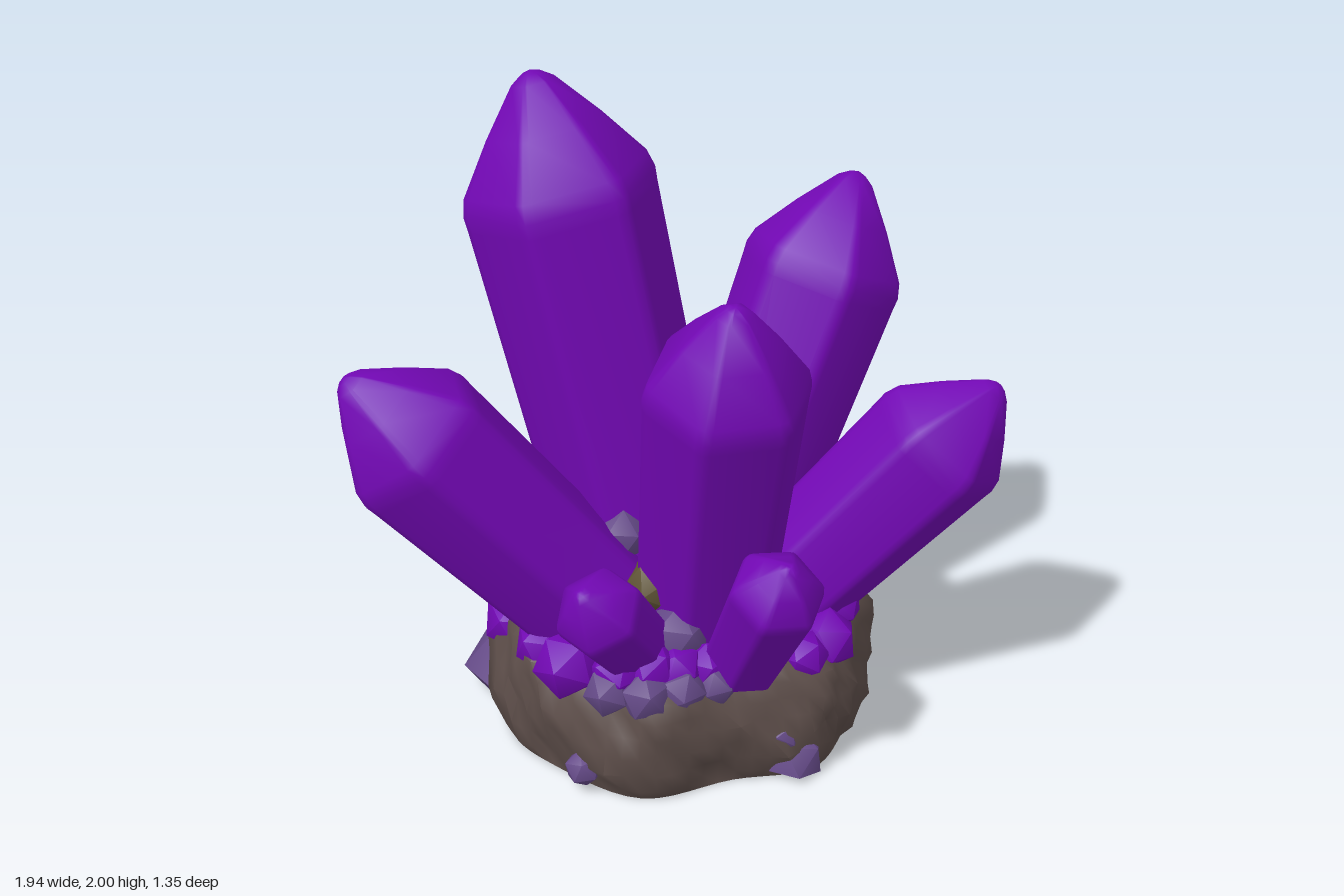
import * as THREE from 'three';
import { toCreasedNormals } from 'three/addons/utils/BufferGeometryUtils.js';

const material = (name, color) => {
  const m = new THREE.MeshStandardMaterial({ color });
  m.name = name;
  return m;
};

// Six-sided crystal with softened edges, a rounded shoulder and a blunt tip
function crystalGeometry(radius, length, tipLength, twist) {
  const s = length - tipLength;
  const profile = [
    [0, 0], [0.86, 0], [0.99, s - 0.2 * radius], [1, s - 0.05 * radius], [0.95, s + 0.13 * radius],
    [0.59, s + 0.53 * tipLength], [0.22, length - 0.11 * radius], [0.1, length - 0.03 * radius], [0, length],
  ].map(([r, y]) => new THREE.Vector2(r * radius, y));
  const g = new THREE.LatheGeometry(profile, 18);
  const p = g.attributes.position;
  // gather every three segments into one bevelled corner
  for (let i = 0; i < p.count; i++) {
    const k = Math.floor(i / profile.length);
    const corner = Math.round(k / 3), d = k - corner * 3;
    const a = corner * Math.PI / 3 + d * 0.1 + twist;
    const r = profile[i % profile.length].x * (d === 0 ? 0.975 : 0.95);
    p.setXYZ(i, Math.sin(a) * r, p.getY(i), Math.cos(a) * r);
  }
  return toCreasedNormals(g, 0.75);
}

// Lumpy rock lofted from one outline scaled ring by ring
function rockGeometry() {
  const outline = new THREE.CatmullRomCurve3([
    [-0.53, 0.05], [-0.43, 0.25], [-0.2, 0.48], [0.1, 0.45], [0.36, 0.45], [0.5, 0.3],
    [0.64, 0.02], [0.6, -0.3], [0.43, -0.61], [0.1, -0.61], [-0.25, -0.58], [-0.47, -0.33],
  ].map(([x, z]) => new THREE.Vector3(x, 0, z)), true);
  const rings = [[0, 0], [0.96, 0], [0.99, 0.05], [1.02, 0.12], [1.03, 0.2], [1.02, 0.27], [0.99, 0.33],
    [0.95, 0.39], [0.86, 0.44], [0.6, 0.47], [0.3, 0.49], [0, 0.5]];
  const n = 72, cx = 0.03, cz = -0.08, positions = [], index = [];
  rings.forEach(([s, h], i) => {
    for (let j = 0; j < n; j++) {
      const p = outline.getPoint(j / n);
      const a = (j / n) * Math.PI * 2;
      const lump = 1 + 0.018 * Math.sin(7 * a + h * 14) + 0.016 * Math.sin(13 * a - h * 23)
        + 0.014 * Math.sin(19 * a + h * 37);
      const k = s * (h > 0 ? lump : 1);
      const x = cx + (p.x - cx) * k, z = cz + (p.z - cz) * k;
      positions.push(x, h * (0.95 - 0.22 * z), z);
      if (i < rings.length - 1) {
        const b = i * n + j, c = i * n + (j + 1) % n;
        index.push(b, c, b + n, c, c + n, b + n);
      }
    }
  });
  const g = new THREE.BufferGeometry();
  g.setAttribute('position', new THREE.Float32BufferAttribute(positions, 3));
  g.setIndex(index);
  return toCreasedNormals(g, 0.9);
}

// Soft-edged nugget, kept above the ground
function nuggetGeometry(x, y, z, r, turn) {
  const g = new THREE.IcosahedronGeometry(r, 0);
  g.rotateX(turn * 1.3).rotateY(turn * 2.1 + 0.4).translate(x, y, z);
  const p = g.attributes.position;
  for (let i = 0; i < p.count; i++) p.setY(i, Math.max(0, p.getY(i)));
  return toCreasedNormals(g, 0.8);
}

export function createModel() {
  const group = new THREE.Group();
  const purple = material('purple crystal', 0x7208b4);
  const violet = material('dusty violet', 0x654a88);
  const brown = material('brown rock', 0x5b4c48);
  const olive = material('olive stone', 0x5f5436);

  const add = (name, geometry, mat) => {
    const mesh = new THREE.Mesh(geometry, mat);
    mesh.name = name;
    group.add(mesh);
    return mesh;
  };

  add('rockBase', rockGeometry(), brown);

  // Large crystals: name, base, tip, radius, tip length, twist
  const S = Math.PI / 6;
  [
    ['tallCrystal', [0.0, 0.35, -0.17], [-0.32, 2.0, -0.4], 0.303, 0.36, S],
    ['frontCrystal', [0.085, 0.35, 0.1], [0.08, 1.58, 0.445], 0.252, 0.29, S],
    ['leftRearCrystal', [0.16, 0.35, -0.16], [0.68, 1.61, -0.365], 0.258, 0.31, 0],
    ['leftCrystal', [0.29, 0.36, 0.04], [0.95, 1.14, 0.23], 0.228, 0.25, 0.1],
    ['rightCrystal', [-0.18, 0.38, 0.04], [-0.95, 1.27, 0.0], 0.25, 0.28, 0],
    ['smallRightCrystal', [-0.13, 0.36, 0.24], [-0.37, 0.75, 0.47], 0.138, 0.14, S],
    ['smallLeftCrystal', [0.14, 0.38, 0.35], [0.2, 0.85, 0.63], 0.145, 0.14, S],
  ].forEach(([name, base, tip, radius, tipLength, twist]) => {
    const from = new THREE.Vector3(...base);
    const axis = new THREE.Vector3(...tip).sub(from);
    const mesh = add(name, crystalGeometry(radius, axis.length(), tipLength, twist), purple);
    mesh.position.copy(from);
    mesh.quaternion.setFromUnitVectors(new THREE.Vector3(0, 1, 0), axis.normalize());
  });

  // Small gems and stones: x, y, z, radius
  const cluster = (name, mat, list) => list.forEach(([x, y, z, r], i) => {
    add(name + (i + 1), nuggetGeometry(x, y, z, r, i), mat);
  });

  cluster('rimGem', purple, [
    [0.555, 0.36, -0.12, 0.165], [0.42, 0.37, 0.29, 0.1], [0.33, 0.37, 0.36, 0.08],
    [0.5, 0.39, 0.14, 0.08], [0.03, 0.38, 0.36, 0.08], [-0.06, 0.39, 0.37, 0.08],
    [-0.24, 0.39, 0.35, 0.09], [-0.37, 0.39, 0.27, 0.11], [-0.42, 0.37, 0.12, 0.09],
    [-0.46, 0.33, -0.1, 0.11], [-0.38, 0.43, -0.26, 0.09], [-0.28, 0.5, -0.36, 0.12],
    [-0.17, 0.45, -0.48, 0.11], [-0.03, 0.5, -0.5, 0.11], [0.11, 0.53, -0.46, 0.12],
    [0.23, 0.54, -0.42, 0.12], [0.38, 0.44, -0.35, 0.11], [0.42, 0.5, -0.24, 0.1],
    [0.14, 0.61, -0.38, 0.1], [0.24, 0.61, -0.34, 0.09], [0.01, 0.59, -0.4, 0.12],
    [-0.12, 0.56, -0.4, 0.12], [0.5, 0.43, -0.02, 0.08], [0.33, 0.47, 0.14, 0.09],
    [-0.14, 0.4, 0.36, 0.09],
  ]);
  cluster('paleGem', violet, [
    [-0.46, 0.08, -0.23, 0.155], [0.29, 0.05, 0.41, 0.1], [0.25, 0.15, 0.43, 0.06],
    [-0.35, 0.08, 0.37, 0.06], [-0.17, 0.34, 0.41, 0.085], [0.05, 0.34, 0.4, 0.07],
    [-0.06, 0.34, 0.41, 0.08], [-0.27, 0.35, 0.38, 0.08], [-0.04, 0.46, 0.29, 0.1],
    [-0.15, 0.65, 0.0, 0.09], [0.3, 0.48, 0.2, 0.09], [0.08, 0.5, -0.03, 0.25],
    [0.4, 0.48, -0.13, 0.09],
  ]);
  cluster('mossyStone', olive, [[-0.09, 0.57, 0.18, 0.09]]);

  return group;
}
